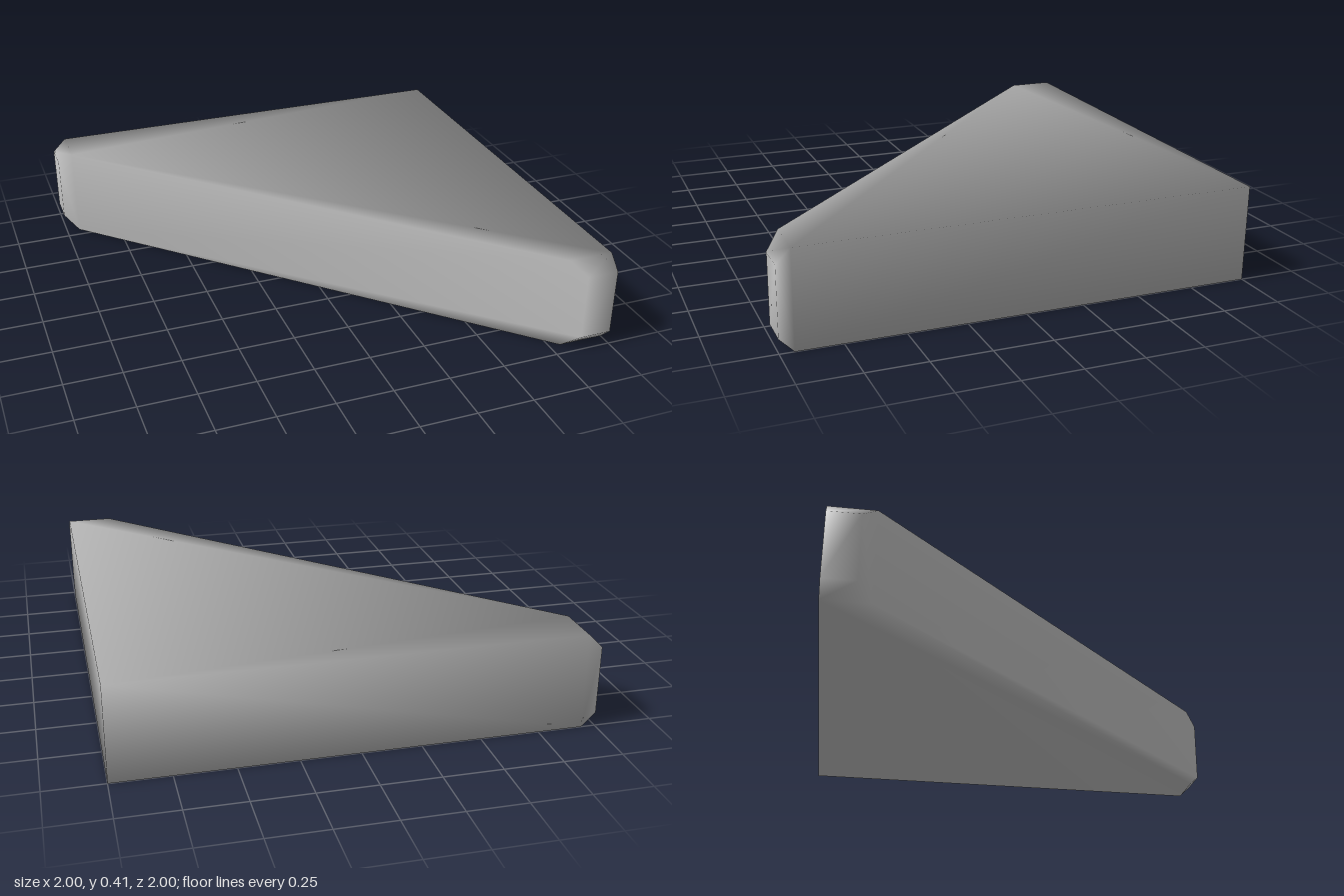
import * as THREE from 'three';

const HEIGHT = 0.414, BEVEL = 0.06;

// Plan outlines [x, z], in order: back tip (two corners), front tip (two corners), square corner.
// Only the two cut-off tips are beveled; the legs and the long slanted side are upright.
const full = [[-1, -1], [-1, -0.86], [0.86, 1], [1, 1]];
const inset = [[-0.94, -1], [-0.94, -0.8], [0.8, 0.94], [1, 0.94], [1, -1]];

// Corners by layer: 0-4 bottom, 5-8 and 9-12 bevel edges, 13-17 top.
const layer = (outline, y) => outline.flatMap(([x, z]) => [x, y, z]);
const corners = [
  ...layer(inset, 0),
  ...layer(full, BEVEL),
  ...layer(full, HEIGHT - BEVEL),
  ...layer(inset, HEIGHT),
];

// Faces as convex polygons, each fanned from its first corner.
const shell = [
  [0, 4, 3, 2, 1],                                  // bottom
  [1, 2, 7, 11, 15, 14, 10, 6],                     // slanted side
  [3, 4, 17, 16, 12, 8],                            // left leg
  [0, 5, 9, 13, 17, 4],                             // back leg
  [0, 1, 6, 5], [5, 6, 10, 9], [9, 10, 14, 13],     // back tip with bevels
  [2, 3, 8, 7], [7, 8, 12, 11], [11, 12, 16, 15],   // front tip with bevels
];
const top = [14, 15, 16, 17, 13];

const fan = ([first, ...rest]) =>
  rest.slice(1).flatMap((corner, i) => [first, rest[i], corner]);

function wedgeGeometry() {
  const geometry = new THREE.BufferGeometry();
  geometry.setAttribute('position', new THREE.Float32BufferAttribute(corners, 3));
  // Smooth normals come from the sides and bottom; the top shares its rim's normals.
  const shellIndex = shell.flatMap(fan);
  geometry.setIndex(shellIndex);
  geometry.computeVertexNormals();
  geometry.setIndex([...shellIndex, ...fan(top)]);
  return geometry;
}

export function createModel() {
  const group = new THREE.Group();
  group.name = 'triangularBlock';
  const wedge = new THREE.Mesh(
    wedgeGeometry(),
    new THREE.MeshStandardMaterial({ color: 0xcccccc })
  );
  wedge.name = 'beveledWedge';
  group.add(wedge);
  return group;
}
